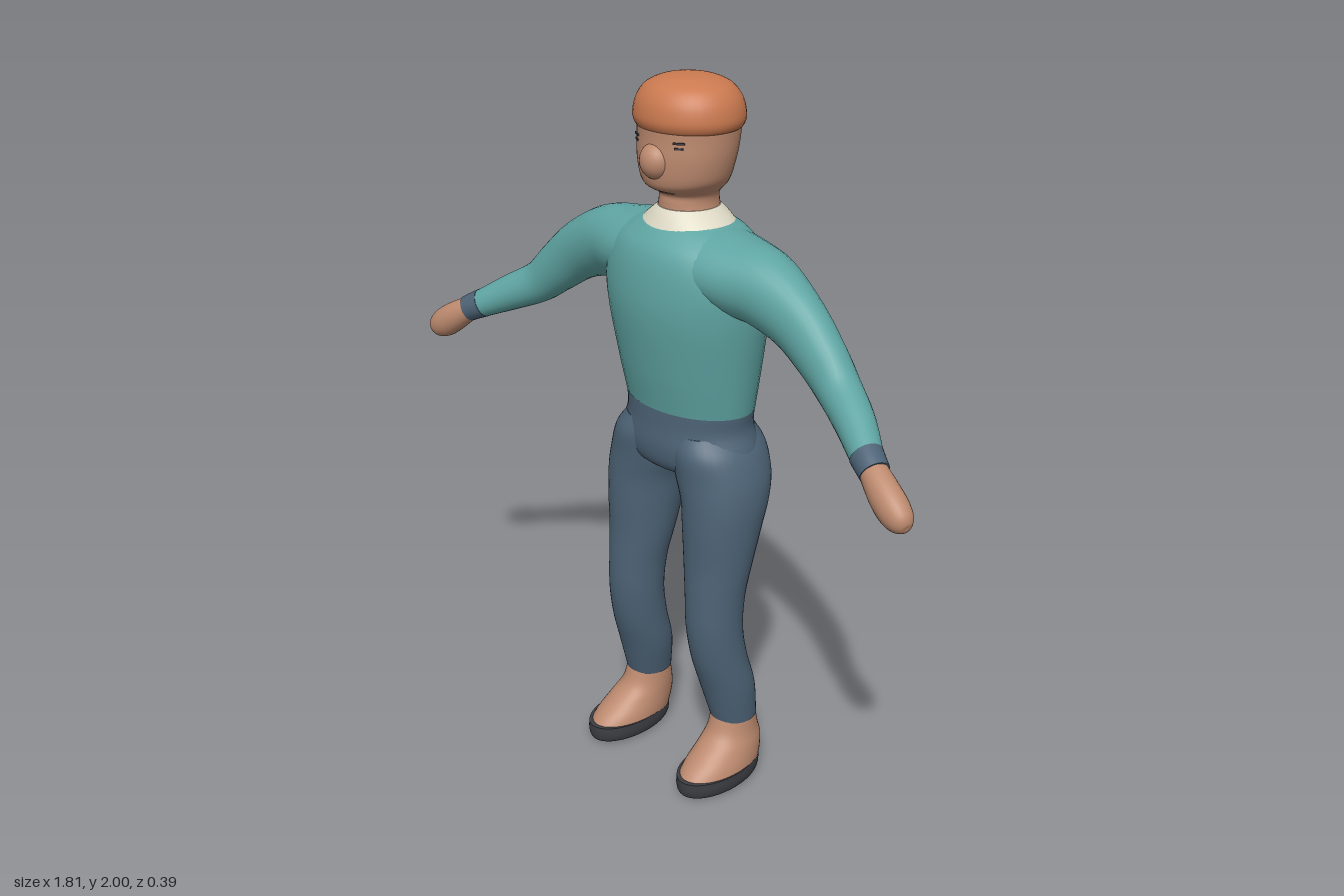
import * as THREE from 'three';

const Y = new THREE.Vector3(0, 1, 0), Z = new THREE.Vector3(0, 0, 1);

// Smooth tube through elliptical sections [x, y, z, halfU, halfV], closed at both ends.
// With a fixed axis all sections stay level; otherwise they follow the path.
function loft(rings, ref, axis, sides = 40, sub = 6) {
  const path = new THREE.CatmullRomCurve3(rings.map(r => new THREE.Vector3(r[0], r[1], r[2])), false, 'catmullrom', 0.5);
  const size = new THREE.CatmullRomCurve3(rings.map(r => new THREE.Vector3(r[3], r[4], 0)), false, 'catmullrom', 0.5);
  const n = (rings.length - 1) * sub, pos = [], idx = [], loops = [];
  for (let i = 0; i <= n; i++) {
    const t = i / n, c = path.getPoint(t), s = size.getPoint(t);
    const T = axis || path.getTangent(t);
    const V = new THREE.Vector3().crossVectors(T, ref).normalize();
    const U = new THREE.Vector3().crossVectors(V, T).normalize();
    const loop = [];
    for (let j = 0; j < sides; j++) {
      const a = j / sides * Math.PI * 2;
      const p = c.clone()
        .addScaledVector(U, Math.max(s.x, 0.0005) * Math.cos(a))
        .addScaledVector(V, Math.max(s.y, 0.0005) * Math.sin(a));
      loop.push(p);
      pos.push(p.x, p.y, p.z);
    }
    loops.push({ c, loop });
  }
  for (let i = 0; i < n; i++) for (let j = 0; j < sides; j++) {
    const k = (j + 1) % sides, a = i * sides + j, b = i * sides + k;
    idx.push(a, b, b + sides, a, b + sides, a + sides);
  }
  for (const end of [0, n]) {
    const base = pos.length / 3, { c, loop } = loops[end];
    pos.push(c.x, c.y, c.z);
    loop.forEach(p => pos.push(p.x, p.y, p.z));
    for (let j = 0; j < sides; j++) {
      const a = base + 1 + j, b = base + 1 + (j + 1) % sides;
      if (end) idx.push(base, a, b); else idx.push(base, b, a);
    }
  }
  const g = new THREE.BufferGeometry();
  g.setAttribute('position', new THREE.Float32BufferAttribute(pos, 3));
  g.setIndex(idx);
  g.computeVertexNormals();
  return g;
}

// Level sections listed bottom to top: [y, centreX, halfX, centreZ, halfZ]
const stack = rows => loft(rows.map(([y, cx, hx, cz, hz]) => [cx, y, cz, hz, hx]), Z, Y);
// Sections along a limb: [x, y, z, halfHeight, halfDepth]
const limb = rows => loft(rows, Y, null, 28);

function mirrored(geo) {
  const g = geo.clone().scale(-1, 1, 1), ix = g.index;
  for (let i = 0; i < ix.count; i += 3) {
    const a = ix.getX(i);
    ix.setX(i, ix.getX(i + 1));
    ix.setX(i + 1, a);
  }
  return g;
}

export function createModel() {
  const model = new THREE.Group();
  model.name = 'standingFigure';
  const paint = (name, color) => {
    const m = new THREE.MeshStandardMaterial({ color });
    m.name = name;
    return m;
  };
  const skin = paint('skin', 0xbd8a6f), hair = paint('orange', 0xcb7a50), teal = paint('teal', 0x5fa5a3);
  const denim = paint('slateBlue', 0x4d6376), sole = paint('charcoal', 0x3c3d42), cream = paint('cream', 0xdedac6);
  const add = (name, geo, mat) => {
    const m = new THREE.Mesh(geo, mat);
    m.name = name;
    model.add(m);
  };
  const pair = (name, geo, mat) => {
    add('left' + name, geo, mat);
    add('right' + name, mirrored(geo), mat);
  };

  // Head and neck
  add('head', stack([
    [1.64, 0, 0.085, -0.03, 0.085], [1.68, 0, 0.077, -0.03, 0.08], [1.705, 0, 0.081, -0.029, 0.08],
    [1.725, 0, 0.1, -0.021, 0.108], [1.75, 0, 0.118, -0.018, 0.117], [1.8, 0, 0.131, -0.022, 0.125],
    [1.85, 0, 0.136, -0.028, 0.128], [1.89, 0, 0.136, -0.03, 0.128], [1.92, 0, 0.12, -0.03, 0.115],
  ]), skin);
  add('nose', new THREE.SphereGeometry(1, 24, 16).scale(0.045, 0.047, 0.042).translate(0, 1.798, 0.085), skin);
  add('cap', stack([
    [1.868, 0, 0.128, -0.03, 0.12], [1.876, 0, 0.143, -0.03, 0.131], [1.9, 0, 0.15, -0.03, 0.138],
    [1.94, 0, 0.141, -0.03, 0.13], [1.972, 0, 0.117, -0.03, 0.108], [1.99, 0, 0.08, -0.03, 0.074],
    [1.998, 0, 0.04, -0.03, 0.037], [2, 0, 0.001, -0.03, 0.001],
  ]), hair);

  // Eyes: an upper and a lower lid line
  for (const [name, y, w] of [['UpperEyelid', 1.852, 0.03], ['LowerEyelid', 1.839, 0.024]])
    pair(name, new THREE.BoxGeometry(w, 0.005, 0.006).rotateY(0.55).translate(0.075, y, 0.079), sole);

  // Sweater
  add('sweaterBody', stack([
    [1.13, 0, 0.206, -0.035, 0.137], [1.25, 0, 0.226, -0.03, 0.156], [1.4, 0, 0.25, -0.024, 0.172],
    [1.5, 0, 0.255, -0.025, 0.17], [1.57, 0, 0.225, -0.026, 0.155], [1.61, 0, 0.175, -0.03, 0.13],
    [1.637, 0, 0.11, -0.03, 0.1],
  ]), teal);
  add('collar', stack([
    [1.622, 0, 0.135, -0.03, 0.117], [1.64, 0, 0.115, -0.03, 0.106], [1.655, 0, 0.096, -0.03, 0.096],
    [1.668, 0, 0.08, -0.03, 0.084],
  ]), cream);
  pair('Sleeve', limb([
    [0.08, 1.535, -0.028, 0.1, 0.14], [0.19, 1.52, -0.025, 0.1, 0.125], [0.29, 1.505, -0.02, 0.098, 0.095],
    [0.4, 1.457, -0.01, 0.084, 0.07], [0.49, 1.39, 0.0, 0.072, 0.06], [0.565, 1.328, 0.015, 0.06, 0.055],
    [0.65, 1.283, 0.055, 0.052, 0.05], [0.735, 1.237, 0.108, 0.04, 0.04],
  ]), teal);
  pair('Cuff', limb([[0.728, 1.241, 0.104, 0.042, 0.042], [0.75, 1.23, 0.115, 0.04, 0.04], [0.772, 1.218, 0.125, 0.038, 0.038]]), denim);
  pair('Hand', limb([
    [0.755, 1.227, 0.118, 0.033, 0.033], [0.785, 1.208, 0.131, 0.038, 0.037], [0.82, 1.184, 0.143, 0.043, 0.04],
    [0.855, 1.16, 0.152, 0.043, 0.039], [0.883, 1.143, 0.158, 0.034, 0.031], [0.898, 1.134, 0.161, 0.018, 0.017],
    [0.902, 1.132, 0.162, 0.001, 0.001],
  ]), skin);

  // Trousers
  add('trouserHips', stack([
    [0.93, 0, 0.03, -0.035, 0.03], [0.945, 0, 0.14, -0.035, 0.1], [0.97, 0, 0.21, -0.035, 0.132],
    [1.02, 0, 0.224, -0.035, 0.143], [1.08, 0, 0.203, -0.035, 0.138], [1.132, 0, 0.205, -0.035, 0.135],
  ]), denim);
  pair('TrouserLeg', stack([
    [0.19, 0.178, 0.065, -0.038, 0.068], [0.3, 0.17, 0.08, -0.018, 0.078], [0.4, 0.164, 0.079, 0.01, 0.08],
    [0.5, 0.16, 0.079, 0.025, 0.081], [0.6, 0.157, 0.083, 0.02, 0.086], [0.7, 0.153, 0.096, 0.005, 0.096],
    [0.8, 0.151, 0.107, -0.01, 0.112], [0.88, 0.146, 0.116, -0.025, 0.126], [0.95, 0.128, 0.126, -0.035, 0.136],
    [1.02, 0.11, 0.118, -0.035, 0.138], [1.07, 0.09, 0.1, -0.035, 0.12],
  ]), denim);

  // Feet
  pair('Foot', stack([
    [0.045, 0.19, 0.081, 0.033, 0.145], [0.075, 0.188, 0.078, 0.014, 0.134], [0.11, 0.185, 0.072, -0.012, 0.111],
    [0.15, 0.18, 0.065, -0.032, 0.082], [0.21, 0.178, 0.06, -0.038, 0.064],
  ]), skin);
  pair('Sole', stack([
    [0, 0.19, 0.066, 0.035, 0.128], [0.01, 0.19, 0.078, 0.035, 0.142], [0.03, 0.19, 0.083, 0.035, 0.147],
    [0.056, 0.19, 0.082, 0.035, 0.146],
  ]), sole);

  return model;
}
